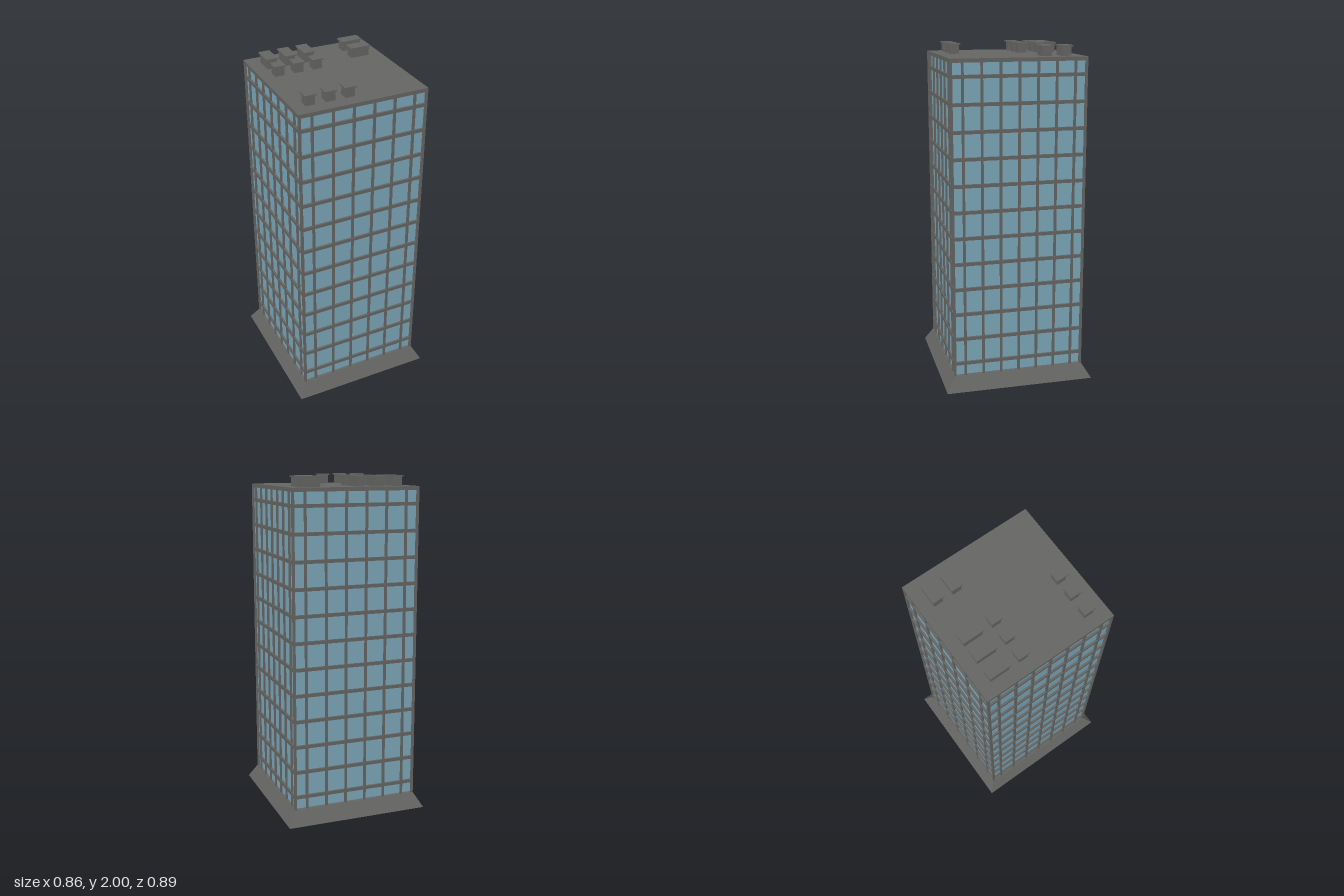
import * as THREE from 'three';

const HX = 0.382, HZ = 0.395;      // half width and depth of the tower
const Y0 = 0.085, Y1 = 1.94;       // bottom and top of the facade
const RECESS = 0.012;              // glass set back from the frame

const grey = new THREE.MeshStandardMaterial({ color: 0x646462 });
const blue = new THREE.MeshStandardMaterial({ color: 0x7aa5b8 });

function box(parent, name, mat, w, h, d, x, y, z) {
  const m = new THREE.Mesh(new THREE.BoxGeometry(w, h, d), mat);
  m.name = name;
  m.position.set(x, y, z);
  parent.add(m);
  return m;
}

// Box whose bottom face is spread outwards
function plinth() {
  const g = new THREE.BoxGeometry(2, Y0, 2).toNonIndexed();
  const p = g.attributes.position;
  for (let i = 0; i < p.count; i++) {
    const low = p.getY(i) < 0;
    p.setX(i, p.getX(i) * (low ? 0.43 : HX));
    p.setZ(i, p.getZ(i) * (low ? 0.445 : HZ));
  }
  g.computeVertexNormals();
  const m = new THREE.Mesh(g, grey);
  m.name = 'plinth';
  m.position.y = Y0 / 2;
  return m;
}

export function createModel() {
  const model = new THREE.Group();
  model.name = 'officeTower';
  const H = Y1 - Y0, mid = (Y0 + Y1) / 2;

  model.add(plinth());
  box(model, 'glassCore', blue, 2 * (HX - RECESS), H - 0.01, 2 * (HZ - RECESS), 0, mid, 0);

  // Roof slab and floor bands running all the way round
  box(model, 'roofSlab', grey, 2 * HX, 0.022, 2 * HZ, 0, Y1 - 0.011, 0);
  const bands = new THREE.Group();
  bands.name = 'floorBands';
  for (let i = 0; i < 12; i++) {
    box(bands, 'floorBand', grey, 2 * HX, 0.02, 2 * HZ, 0, 0.162 + i * 0.1527, 0);
  }
  model.add(bands);

  // Corner posts
  for (const sx of [-1, 1]) for (const sz of [-1, 1]) {
    box(model, 'cornerPost', grey, 0.014, H, 0.014, sx * (HX - 0.007), mid, sz * (HZ - 0.007));
  }

  // Mullions, slightly behind the bands
  const mullions = new THREE.Group();
  mullions.name = 'mullions';
  const depth = 0.012, back = 0.008;
  for (const s of [-1, 1]) {
    for (let i = 0; i < 6; i++) {
      box(mullions, 'mullion', grey, 0.014, H, depth, (i - 2.5) * 0.1215, mid, s * (HZ - back));
    }
    for (let i = -3; i <= 3; i++) {
      box(mullions, 'mullion', grey, depth, H, 0.014, s * (HX - back), mid, i * 0.108);
    }
  }
  model.add(mullions);

  // Rooftop units: a body with a thin overhanging lid
  const roofUnit = (x, z, w, d) => {
    const unit = new THREE.Group();
    unit.name = 'roofUnit';
    unit.position.set(x, Y1, z);
    box(unit, 'unitBody', grey, w - 0.014, 0.053, d - 0.014, 0, 0.0265, 0);
    box(unit, 'unitLid', grey, w, 0.008, d, 0, 0.056, 0);
    model.add(unit);
  };
  for (const x of [-0.279, -0.164, -0.049]) {
    roofUnit(x, -0.265, 0.068, 0.128);
    roofUnit(x, -0.121, 0.068, 0.068);
    roofUnit(x, 0.289, 0.068, 0.068);
  }
  for (const z of [-0.294, -0.179]) roofUnit(0.249, z, 0.126, 0.068);

  return model;
}
